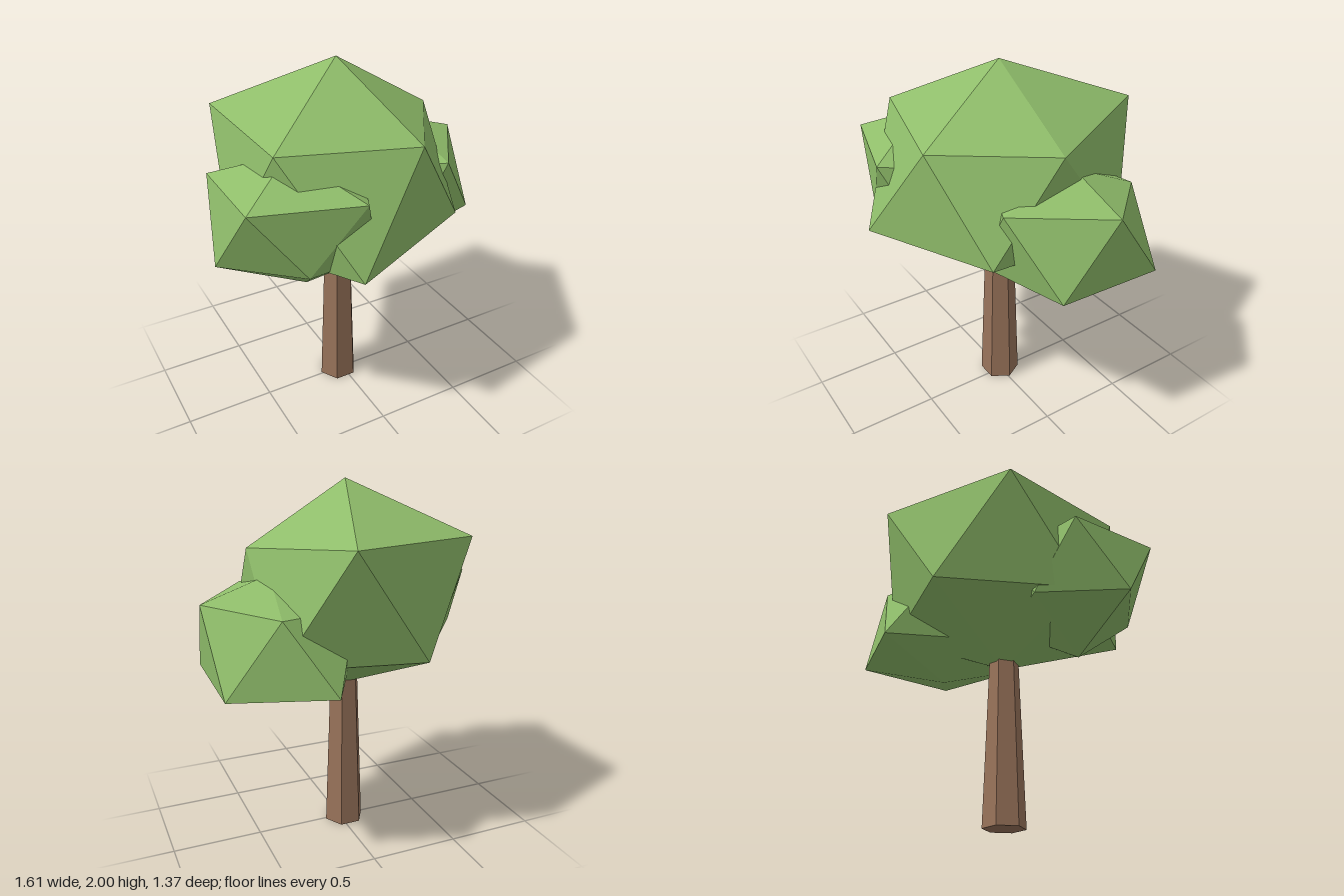
import * as THREE from 'three';

// Closed faceted clump: top point, two staggered rings of five, bottom point.
// Ring points run from +x towards +z; lower[i] sits between upper[i] and upper[i + 1].
function clumpGeometry(top, upper, lower, bottom) {
  const points = [];
  for (let i = 0; i < 5; i++) {
    const j = (i + 1) % 5;
    points.push(top, upper[j], upper[i]);
    points.push(upper[i], upper[j], lower[i]);
    points.push(lower[i], upper[j], lower[j]);
    points.push(bottom, lower[i], lower[j]);
  }
  const geometry = new THREE.BufferGeometry();
  geometry.setAttribute('position', new THREE.Float32BufferAttribute(points.flat(), 3));
  geometry.computeVertexNormals();
  return geometry;
}

const clumps = [
  {
    name: 'mainFoliage',
    top: [-0.03, 2, -0.01],
    upper: [[0.52, 1.67, -0.02], [0.15, 1.68, 0.53], [-0.55, 1.71, 0.36], [-0.57, 1.72, -0.41], [0.2, 1.74, -0.69]],
    lower: [[0.5, 1.16, 0.37], [-0.25, 1.12, 0.68], [-0.66, 1.12, 0], [-0.22, 1.15, -0.63], [0.49, 1.13, -0.42]],
    bottom: [-0.03, 0.87, -0.02],
  },
  {
    name: 'rightFoliage',
    top: [-0.43, 1.66, 0.25],
    upper: [[0, 1.45, 0.2], [-0.2, 1.5, 0.62], [-0.74, 1.51, 0.47], [-0.72, 1.48, -0.1], [-0.25, 1.45, -0.17]],
    lower: [[-0.05, 1.1, 0.45], [-0.47, 1.14, 0.54], [-0.81, 1.11, 0.18], [-0.5, 1.09, -0.2], [-0.05, 1.1, 0]],
    bottom: [-0.35, 0.91, 0.25],
  },
  {
    name: 'leftFoliage',
    top: [0.44, 1.55, -0.14],
    upper: [[0.8, 1.43, -0.15], [0.48, 1.43, 0.3], [0.05, 1.4, 0.1], [0.08, 1.4, -0.4], [0.49, 1.4, -0.49]],
    lower: [[0.76, 1.03, 0.14], [0.25, 1.04, 0.3], [0, 1.03, -0.15], [0.25, 1.02, -0.62], [0.77, 1.02, -0.45]],
    bottom: [0.37, 0.89, -0.14],
  },
];

export function createModel() {
  const tree = new THREE.Group();
  tree.name = 'tree';

  const leafGreen = new THREE.MeshStandardMaterial({ color: 0x8fbd6a, flatShading: true });
  leafGreen.name = 'leafGreen';
  const barkBrown = new THREE.MeshStandardMaterial({ color: 0x98735a, flatShading: true });
  barkBrown.name = 'barkBrown';

  // Tapered six-sided trunk, running up into the foliage
  const trunk = new THREE.Mesh(new THREE.CylinderGeometry(0.079, 0.115, 1, 6), barkBrown);
  trunk.name = 'trunk';
  trunk.position.set(-0.025, 0.5, -0.01);
  trunk.rotation.y = Math.PI / 6;
  tree.add(trunk);

  // Three overlapping leaf clumps
  for (const { name, top, upper, lower, bottom } of clumps) {
    const clump = new THREE.Mesh(clumpGeometry(top, upper, lower, bottom), leafGreen);
    clump.name = name;
    tree.add(clump);
  }
  return tree;
}
